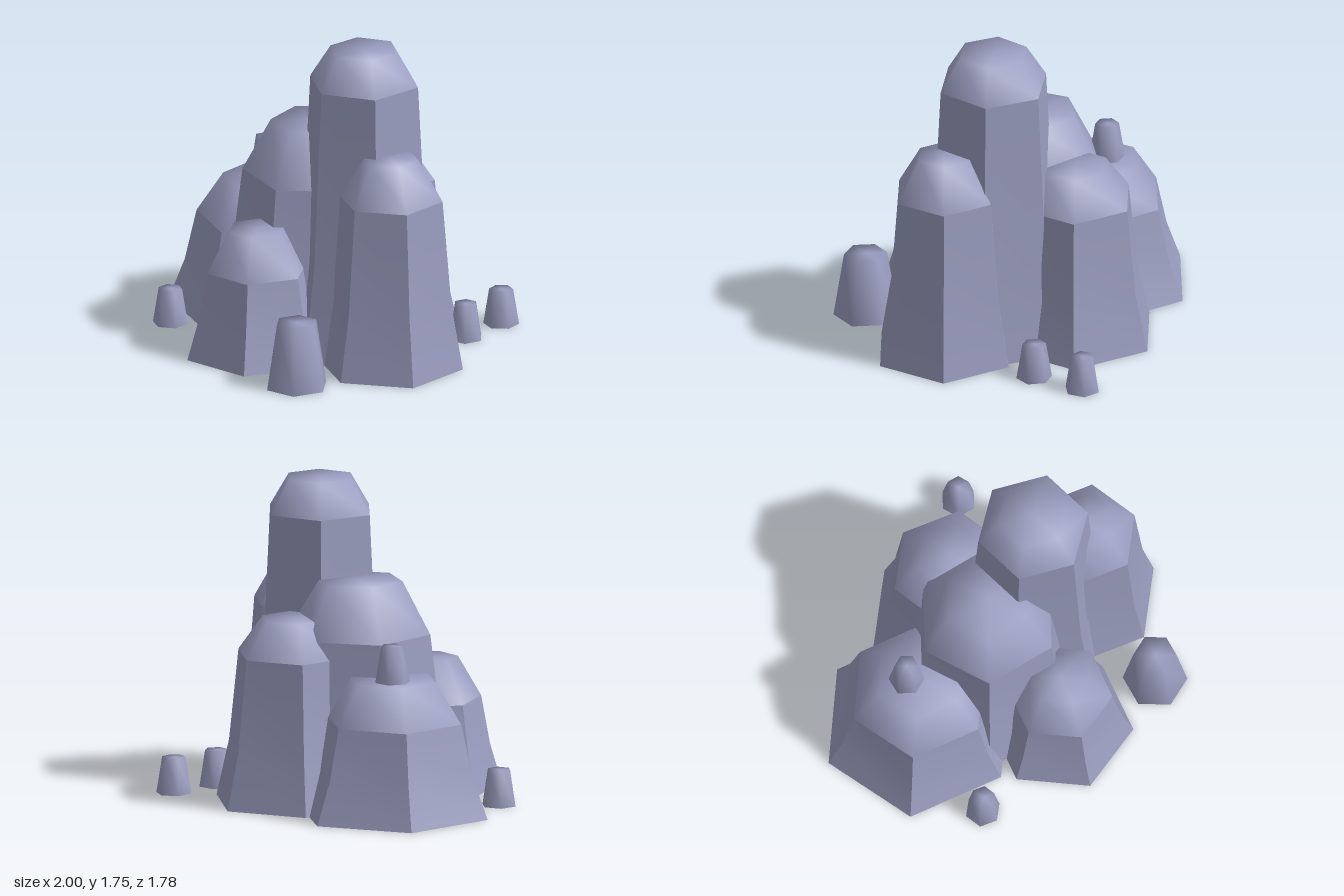
import * as THREE from 'three';
import { mergeVertices, toCreasedNormals } from 'three/addons/utils/BufferGeometryUtils.js';

const rock = new THREE.MeshStandardMaterial({ color: 0x9a9dbf });
rock.name = 'lavender grey rock';

// Six-sided revolve; angle is the direction of one corner, in degrees from +x towards +z
function hexLathe(profile, angle) {
  const points = profile.map(([r, y]) => new THREE.Vector2(r, y));
  const g = new THREE.LatheGeometry(points, 6, THREE.MathUtils.degToRad(90 - angle));
  g.deleteAttribute('uv');
  g.deleteAttribute('normal');
  return g;
}

function smooth(geometry) {
  const g = mergeVertices(geometry, 1e-4);
  g.computeVertexNormals();
  return g;
}

function creased(geometry) {
  geometry.computeVertexNormals();
  return toCreasedNormals(geometry, 0.9);
}

function addMesh(parent, name, geometry) {
  const mesh = new THREE.Mesh(geometry, rock);
  mesh.name = name;
  parent.add(mesh);
}

// Column: flared sharp-edged shaft with a smoothly rounded crown
function column({ name, x, z, r, h, shoulder, angle, top = 0.41 }) {
  const group = new THREE.Group();
  group.name = name;
  group.position.set(x, 0, z);
  const shaft = [[0, 0], [r, 0], [0.84 * r, 0.31 * h], [0.72 * r, shoulder]];
  const crown = [[0.72 * r, shoulder], [top * r, h], [0, h]];
  addMesh(group, 'shaft', creased(hexLathe(shaft, angle)));
  addMesh(group, 'crown', smooth(hexLathe(crown, angle)));
  return group;
}

// Small tapered stone with soft sides and a flat base
function stone({ name, x, y = 0, z, r, h, angle }) {
  const group = new THREE.Group();
  group.name = name;
  group.position.set(x, y, z);
  addMesh(group, 'stoneBody', smooth(hexLathe([[r, 0], [0.67 * r, h], [0, h]], angle)));
  addMesh(group, 'stoneBase', smooth(hexLathe([[0, 0], [r, 0]], angle)));
  return group;
}

const COLUMNS = [
  { name: 'wideColumn', x: -0.495, z: -0.285, r: 0.556, h: 0.76, shoulder: 0.53, angle: -84.3, top: 0.45 },
  { name: 'backColumn', x: 0.13, z: -0.43, r: 0.47, h: 1.04, shoulder: 0.84, angle: -81.5 },
  { name: 'middleColumn', x: -0.05, z: -0.1, r: 0.565, h: 1.235, shoulder: 0.94, angle: -91, top: 0.44 },
  { name: 'tallColumn', x: 0.33, z: -0.02, r: 0.44, h: 1.755, shoulder: 1.565, angle: -15, top: 0.45 },
  { name: 'sideColumn', x: 0.62, z: 0.15, r: 0.412, h: 1.22, shoulder: 0.985, angle: -21.7, top: 0.39 },
  { name: 'frontColumn', x: -0.11, z: 0.395, r: 0.412, h: 0.73, shoulder: 0.5, angle: 6.3, top: 0.4 },
];

const STONES = [
  { name: 'frontStone', x: 0.38, z: 0.73, r: 0.18, h: 0.375, angle: 2 },
  { name: 'rightStone', x: -0.77, z: 0.275, r: 0.1, h: 0.205, angle: -21 },
  { name: 'backStone', x: 0.765, z: -0.74, r: 0.1, h: 0.205, angle: -90 },
  { name: 'leftStone', x: 0.73, z: -0.435, r: 0.1, h: 0.205, angle: -2 },
  { name: 'perchedStone', x: -0.54, y: 0.76, z: -0.34, r: 0.1, h: 0.205, angle: 0 },
];

export function createModel() {
  const model = new THREE.Group();
  model.name = 'rockFormation';
  COLUMNS.forEach((c) => model.add(column(c)));
  STONES.forEach((s) => model.add(stone(s)));
  return model;
}
